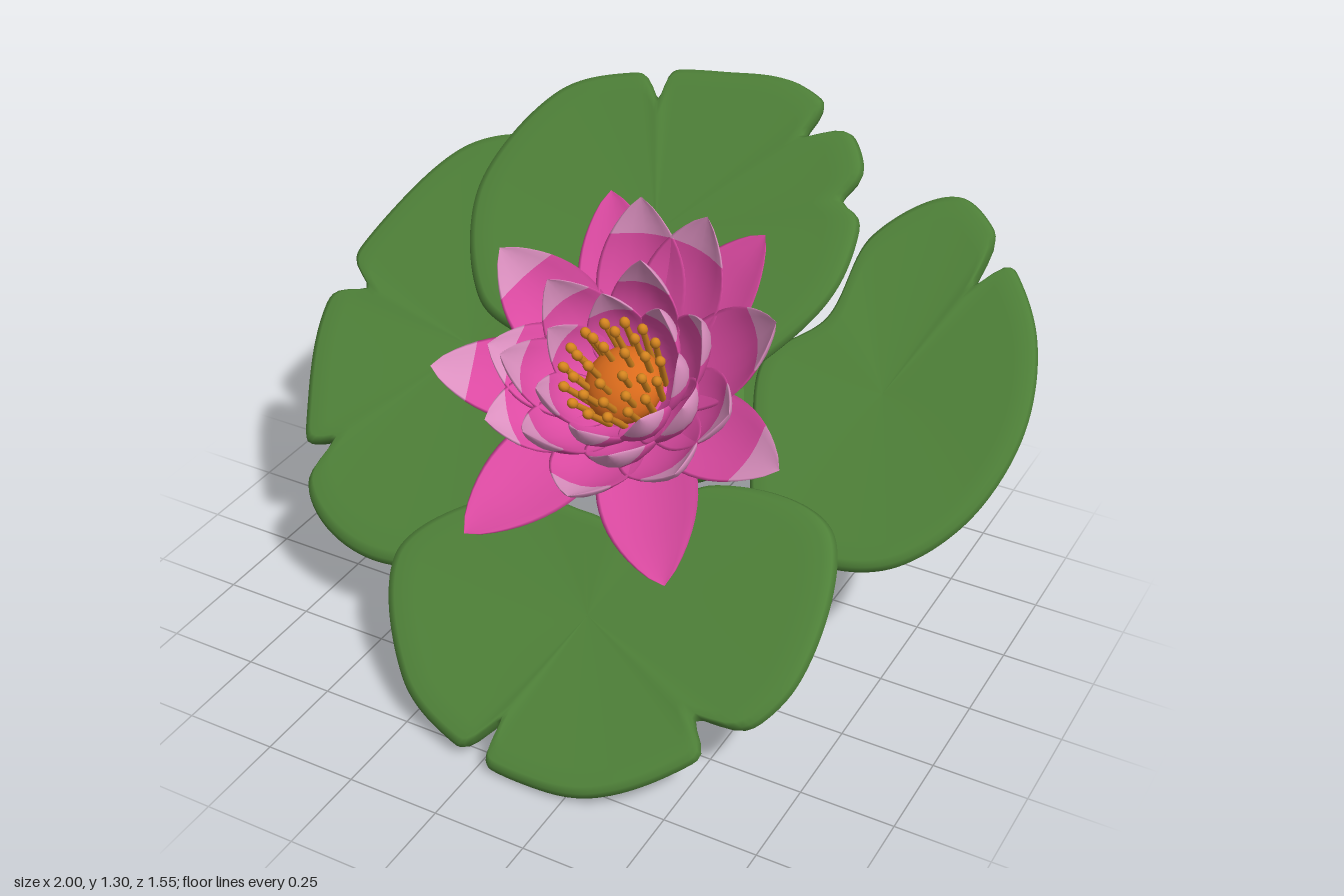
import * as THREE from 'three';

const TILT = 0.68;                       // lean of the whole plant towards the front
const COS = Math.cos(TILT);
const { degToRad } = THREE.MathUtils;

const mat = (name, color) => {
  const m = new THREE.MeshStandardMaterial({ color });
  m.name = name;
  return m;
};

// Skins a list of closed rings; rows from splitRow on use the second material
function loft(rings, splitRow = rings.length - 1) {
  const n = rings[0].length, pos = [], index = [];
  rings.forEach(r => r.forEach(p => pos.push(p.x, p.y, p.z)));
  for (let i = 0; i < rings.length - 1; i++) {
    for (let j = 0; j < n; j++) {
      const a = i * n + j, b = i * n + (j + 1) % n;
      index.push(a, a + n, b, b, a + n, b + n);
    }
  }
  const g = new THREE.BufferGeometry();
  g.setAttribute('position', new THREE.Float32BufferAttribute(pos, 3));
  g.setIndex(index);
  g.computeVertexNormals();
  const split = splitRow * n * 6;
  g.addGroup(0, split, 0);
  if (split < index.length) g.addGroup(split, index.length - split, 1);
  return g;
}

// Thick leaf with a rounded rim: radii at equal angles, then narrow notches [degrees, depth]
function padGeometry(radii, notches = []) {
  const pts = radii.map((r, i) => {
    const a = i / radii.length * Math.PI * 2;
    return new THREE.Vector3(r * Math.cos(a), 0, r * Math.sin(a));
  });
  const edge = new THREE.CatmullRomCurve3(pts, true).getPoints(240).slice(0, -1);
  edge.forEach(p => {
    const angle = Math.atan2(p.z, p.x);
    let k = 1;
    notches.forEach(([deg, depth]) => {
      const d = angle - degToRad(deg), off = Math.atan2(Math.sin(d), Math.cos(d));
      k -= depth * Math.exp(-((off / 0.065) ** 2));
    });
    p.set(p.x * k, 0, p.z * k / COS);
  });
  const profile = [[0, -0.012], [0.5, -0.02], [0.85, -0.026], [0.95, -0.026], [0.985, -0.018], [1, 0],
    [0.985, 0.018], [0.95, 0.026], [0.85, 0.024], [0.5, 0.016], [0, 0.008]];
  return loft(profile.map(([s, y]) => edge.map(p => new THREE.Vector3(p.x * s, y, p.z * s))));
}

// Cupped petal growing outward along +z and curling up to a point
function petalGeometry({ r, h, w, bend, cup }) {
  const ROWS = 16, SIDES = 16, rings = [];
  const path = new THREE.QuadraticBezierCurve(
    new THREE.Vector2(0.05, 0.07), new THREE.Vector2(r * bend, 0.07 + (h - 0.07) * 0.3), new THREE.Vector2(r, h));
  for (let i = 0; i <= ROWS; i++) {
    const t = i / ROWS, p = path.getPoint(t), d = path.getTangent(t);
    const half = w * Math.pow(Math.max(0, Math.sin(Math.PI * (0.12 + 0.88 * t))), 0.75);
    const thick = 0.012 * Math.min(1, half / w * 1.5), ring = [];
    for (let j = 0; j < SIDES; j++) {
      const a = j / SIDES * Math.PI * 2, s = Math.cos(a);
      const n = Math.sin(a) * thick + cup * half * s * s;
      ring.push(new THREE.Vector3(-half * s, p.y + d.x * n, p.x - d.y * n));
    }
    rings.push(ring);
  }
  return loft(rings, 12);
}

export function createModel() {
  const green = mat('leaf green', 0x4e8038);
  const pink = mat('petal pink', 0xdc4aa2);
  const pale = mat('pale petal tip', 0xdc90c0);
  const orange = mat('stamen orange', 0xd4841e);
  const core = mat('centre orange', 0xdc6c1c);

  const model = new THREE.Group();
  model.name = 'waterLily';
  const plant = new THREE.Group();
  plant.name = 'tiltedPlant';
  plant.position.y = 0.555;
  plant.rotation.x = TILT;
  model.add(plant);

  const add = (parent, name, geometry, material, x = 0, y = 0, z = 0) => {
    const m = new THREE.Mesh(geometry, material);
    m.name = name;
    m.position.set(x, y, z);
    parent.add(m);
    return m;
  };
  const addPad = (name, x, y, z, radii, notches) =>
    add(plant, name, padGeometry(radii, notches), green, x, y, z / COS);

  // Four large notched pads, overlapping in layers
  addPad('leftSidePad', 0.62, 0, -0.2,
    [0.38, 0.38, 0.38, 0.37, 0.38, 0.33, 0.34, 0.25, 0.37, 0.45, 0.39, 0.38], [[295, 0.25]]);
  addPad('rightSidePad', -0.52, 0.03, -0.05,
    [0.4, 0.4, 0.49, 0.5, 0.5, 0.46, 0.48, 0.48, 0.52, 0.5, 0.41, 0.41], [[133, 0.17], [189, 0.2]]);
  addPad('frontPad', 0.13, 0.075, 0.42,
    [0.58, 0.44, 0.38, 0.35, 0.38, 0.48, 0.58, 0.38, 0.23, 0.2, 0.38, 0.61], [[18, 0.2], [113, 0.25]]);
  addPad('backPad', -0.1, 0.105, -0.38,
    [0.54, 0.46, 0.43, 0.4, 0.36, 0.48, 0.56, 0.52, 0.41, 0.39, 0.46, 0.54], [[243, 0.18], [316, 0.18], [340, 0.1]]);

  // Small leaf and bulge tucked under the middle
  addPad('underLeaf', 0.04, -0.035, -0.12, [0.37, 0.27, 0.21, 0.27, 0.37, 0.27, 0.21, 0.27]);
  add(plant, 'underBulge', new THREE.SphereGeometry(1, 32, 16), green, 0.03, -0.03, -0.11).scale.set(0.25, 0.055, 0.17);

  // Flower: rings of petals, given as angle lists in degrees
  const flower = new THREE.Group();
  flower.name = 'flower';
  flower.position.set(0.02, 0.03, -0.04);
  plant.add(flower);
  const rings = [
    ['outerFrontPetal', { r: 0.56, h: 0.15, w: 0.135, bend: 0.6, cup: 0.25 }, [-27, 34], false],
    ['outerSidePetal', { r: 0.52, h: 0.22, w: 0.12, bend: 0.65, cup: 0.3 }, [-77, 77], true],
    ['outerBackPetal', { r: 0.52, h: 0.24, w: 0.12, bend: 0.65, cup: 0.3 }, [-156, 152], false],
    ['middlePetal', { r: 0.45, h: 0.33, w: 0.125, bend: 0.8, cup: 0.35 }, [-170, 165, 118, -118], true],
    ['middleFrontPetal', { r: 0.35, h: 0.27, w: 0.12, bend: 0.85, cup: 0.35 }, [5, 52, -50, 85, -85], true],
    ['innerPetal', { r: 0.27, h: 0.35, w: 0.105, bend: 1, cup: 0.4 }, [28, -25, 75, -75, 125, -125, 180], true],
    ['heartPetal', { r: 0.19, h: 0.31, w: 0.085, bend: 1.1, cup: 0.4 }, [0, 52, -52, 103, -103, 154, -154], true]
  ];
  rings.forEach(([name, shape, angles, tipped]) => {
    const g = petalGeometry(shape);
    angles.forEach(a => {
      add(flower, name, g, [pink, tipped ? pale : pink]).rotation.y = degToRad(a);
    });
  });
  add(flower, 'flowerBase', new THREE.SphereGeometry(1, 24, 12), pink, 0, 0.09, 0).scale.set(0.13, 0.05, 0.13);

  // Orange heart with leaning stamens
  add(flower, 'flowerHeart', new THREE.SphereGeometry(1, 24, 12), core, 0, 0.15, 0).scale.set(0.105, 0.075, 0.105);
  const stalk = new THREE.CylinderGeometry(0.008, 0.01, 0.15, 8).translate(0, 0.075, 0);
  const anther = new THREE.SphereGeometry(0.014, 10, 8).scale(1, 1.3, 1).translate(0, 0.15, 0);
  [[5, 0.04, 0.135], [10, 0.075, 0.125], [15, 0.1, 0.11]].forEach(([count, radius, y], k) => {
    for (let i = 0; i < count; i++) {
      const s = new THREE.Group(), a = (i + k * 0.4) / count * Math.PI * 2;
      s.name = 'stamen';
      s.position.set(Math.sin(a) * radius, y, Math.cos(a) * radius);
      s.rotation.set(0.08 + k * 0.06, a, 0, 'YXZ');
      add(s, 'stamenStalk', stalk, orange);
      add(s, 'stamenTip', anther, orange);
      flower.add(s);
    }
  });

  // Two curved stems with closed ends
  [
    ['leftStem', [[0.42, 0.58, -0.03], [0.39, 0.46, -0.11], [0.35, 0.3, -0.175], [0.33, 0.012, -0.2]]],
    ['rightStem', [[-0.29, 0.6, 0.02], [-0.3, 0.42, 0.025], [-0.33, 0.28, 0.025], [-0.34, 0.087, 0.025]]]
  ].forEach(([name, path]) => {
    const pts = path.map(p => new THREE.Vector3(...p));
    const end = pts[3];
    add(model, name, new THREE.TubeGeometry(new THREE.CatmullRomCurve3(pts), 32, 0.03, 14), green);
    add(model, name + 'End', new THREE.CylinderGeometry(0.03, 0.03, 0.024, 14), green, end.x, end.y, end.z);
  });

  return model;
}
